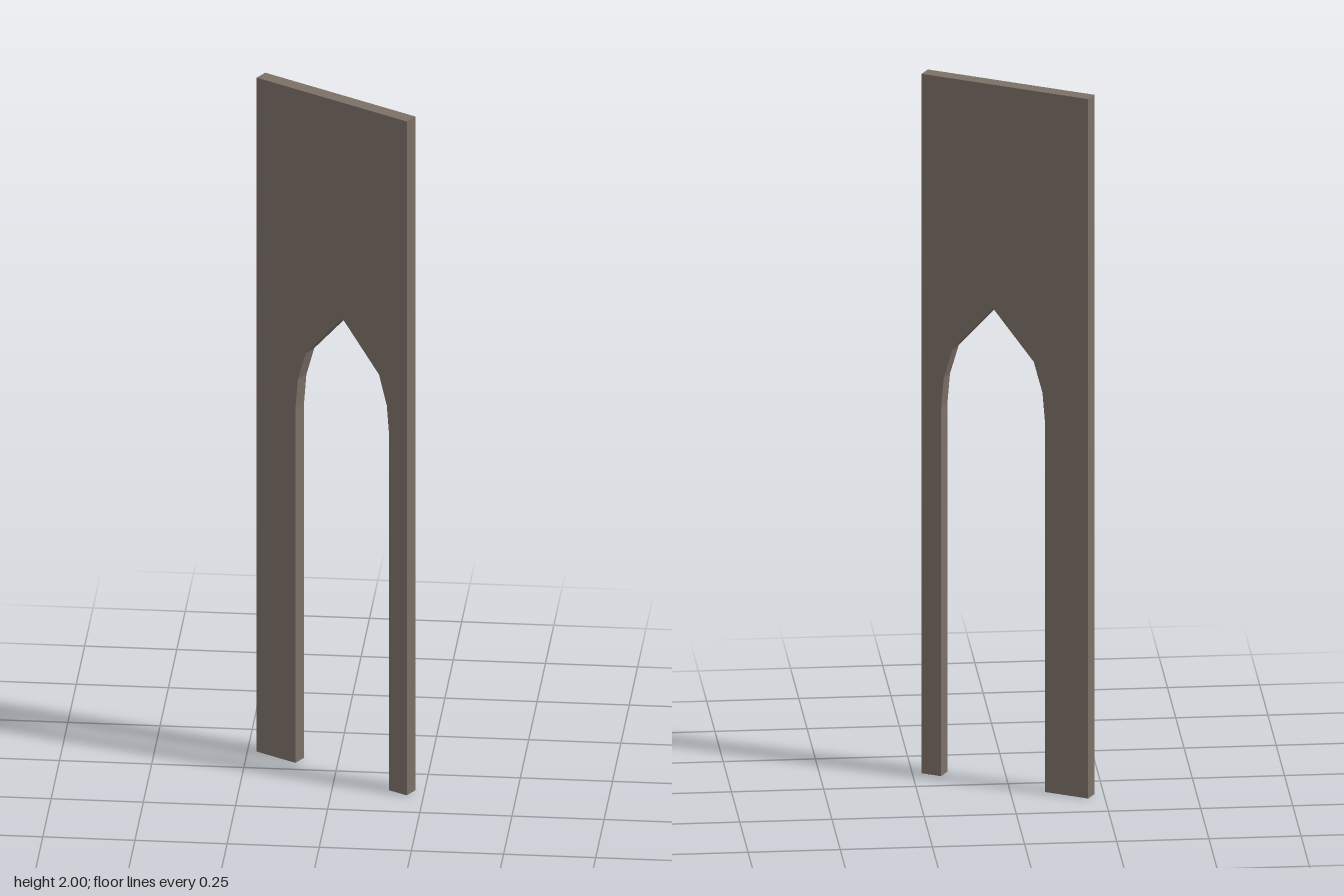
import * as THREE from 'three';

export function createModel() {
  const model = new THREE.Group();
  const stone = new THREE.MeshStandardMaterial({ color: 0x7b7066 });
  stone.name = 'stone';

  const halfWidth = 0.248, height = 2, thickness = 0.04;
  const archCentre = 0.035;

  // Half profile of the pointed arch: offset from its centre line, height
  const arch = [[0.155, 0], [0.155, 1.05], [0.147, 1.14], [0.121, 1.225]];
  const opening = [
    ...arch.map(([x, y]) => [archCentre - x, y]),
    [archCentre, 1.36],
    ...arch.map(([x, y]) => [archCentre + x, y]).reverse(),
  ];

  // Tall panel with the doorway cut up from its foot
  const outline = [
    [-halfWidth, 0], ...opening, [halfWidth, 0],
    [halfWidth, height], [-halfWidth, height],
  ].map(([x, y]) => new THREE.Vector2(x, y));
  const geometry = new THREE.ExtrudeGeometry(new THREE.Shape(outline), {
    depth: thickness, bevelEnabled: false,
  });
  geometry.translate(0, 0, -thickness / 2);

  const panel = new THREE.Mesh(geometry, stone);
  panel.name = 'archedWallPanel';
  panel.rotation.y = -Math.PI / 6; // the panel stands turned by 30 degrees
  model.add(panel);
  return model;
}
